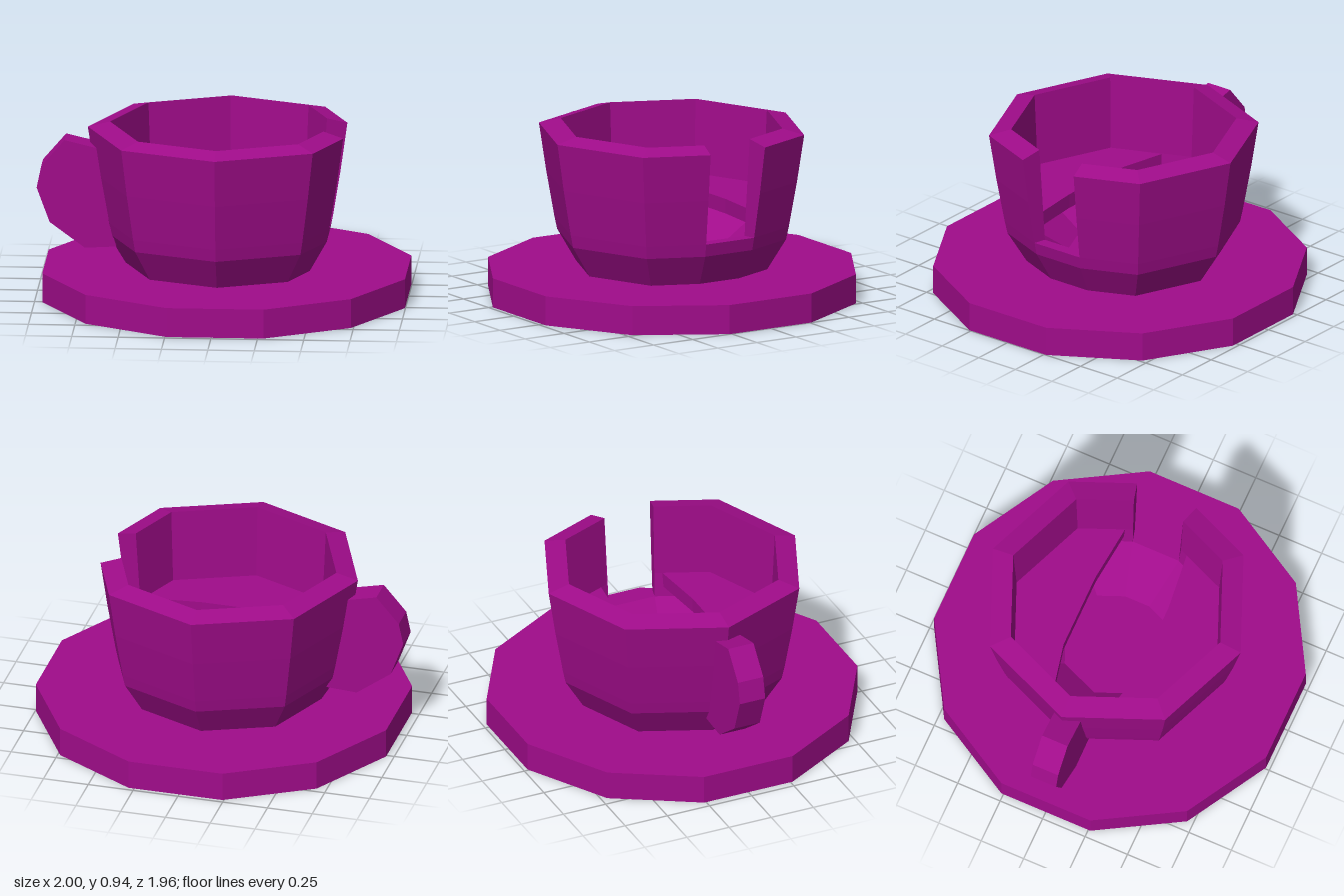
import * as THREE from 'three';

const rad = THREE.MathUtils.degToRad;
const material = new THREE.MeshStandardMaterial({ color: 0xa00c8a, flatShading: true, side: THREE.DoubleSide });

// Angles of the cup's corners: an octagon whose +x corner is cut off by the slot
const SLOT = 14.8;
const ANGLES = [SLOT, 45, 90, 135, 180, 225, 270, 315, 360 - SLOT];

// Point of an octagon of corner radius r, seen at an angle
function octagonPoint([r, y], angle) {
  const d = r * Math.cos(rad(22.5)) / Math.cos(rad((angle % 45) - 22.5));
  return [d * Math.cos(rad(angle)), y, -d * Math.sin(rad(angle))];
}

// Sweep a profile around the cup, either closed across the slot or with capped ends
function sweep(profile, closed) {
  const out = [];
  const rows = ANGLES.map((a) => profile.map((p) => octagonPoint(p, a)));
  const count = closed ? rows.length : rows.length - 1;
  for (let i = 0; i < count; i++) {
    const a = rows[i], b = rows[(i + 1) % rows.length];
    for (let j = 0; j < profile.length - 1; j++) {
      out.push(a[j], b[j], b[j + 1], a[j], b[j + 1], a[j + 1]);
    }
  }
  if (!closed) {
    const first = rows[0], end = rows[rows.length - 1], n = profile.length - 1;
    for (let j = 0; j < n - 1; j++) {
      out.push(first[n], first[j], first[j + 1], end[n], end[j + 1], end[j]);
    }
  }
  const geometry = new THREE.BufferGeometry();
  geometry.setAttribute('position', new THREE.Float32BufferAttribute(out.flat(), 3));
  geometry.computeVertexNormals();
  return geometry;
}

function extrude(points, depth) {
  const shape = new THREE.Shape(points.map(([x, y]) => new THREE.Vector2(x, y)));
  return new THREE.ExtrudeGeometry(shape, { depth, bevelEnabled: false });
}

export function createModel() {
  const model = new THREE.Group();
  model.name = 'cupAndSaucer';
  const add = (name, geometry, x = 0, y = 0, z = 0) => {
    const mesh = new THREE.Mesh(geometry, material);
    mesh.name = name;
    mesh.position.set(x, y, z);
    model.add(mesh);
    return mesh;
  };

  // Twelve-sided saucer
  add('saucer', new THREE.CylinderGeometry(1.012, 1.012, 0.16, 12).rotateY(rad(15)), 0.02, 0.08, 0);

  // Cup base: outer side, slot sill and bowl floor
  add('cupBase', sweep([
    [0, 0.15], [0.52, 0.15], [0.63, 0.33], [0.645, 0.4], [0.57, 0.4], [0.3, 0.22], [0, 0.22],
  ], true), 0, 0, -0.01);

  // Cup wall with a sloping rim, open at the slot
  add('cupWall', sweep([
    [0.645, 0.4], [0.69, 0.65], [0.73, 0.91], [0.61, 0.94], [0.59, 0.535], [0.57, 0.4],
  ], false), 0, 0, -0.01);

  // Flat ledges on both sides of the bowl's channel
  for (const side of [1, -1]) {
    const outline = [
      [-0.52, 0.15], [-0.22, 0.215], [0.2, 0.215], [0.53, 0.18],
      [0.42, 0.42], [0, 0.59], [-0.42, 0.42],
    ].map(([x, y]) => [x, y * side]);
    add(side > 0 ? 'backLedge' : 'frontLedge', extrude(outline, 0.08).rotateX(-Math.PI / 2), 0, 0.455, -0.01);
  }

  // Solid handle
  add('handle', extrude([
    [-0.66, 0.81], [-0.85, 0.855], [-0.975, 0.71], [-1, 0.59], [-0.93, 0.4],
    [-0.74, 0.26], [-0.57, 0.27], [-0.61, 0.4],
  ], 0.15), 0, 0, -0.07);

  return model;
}
